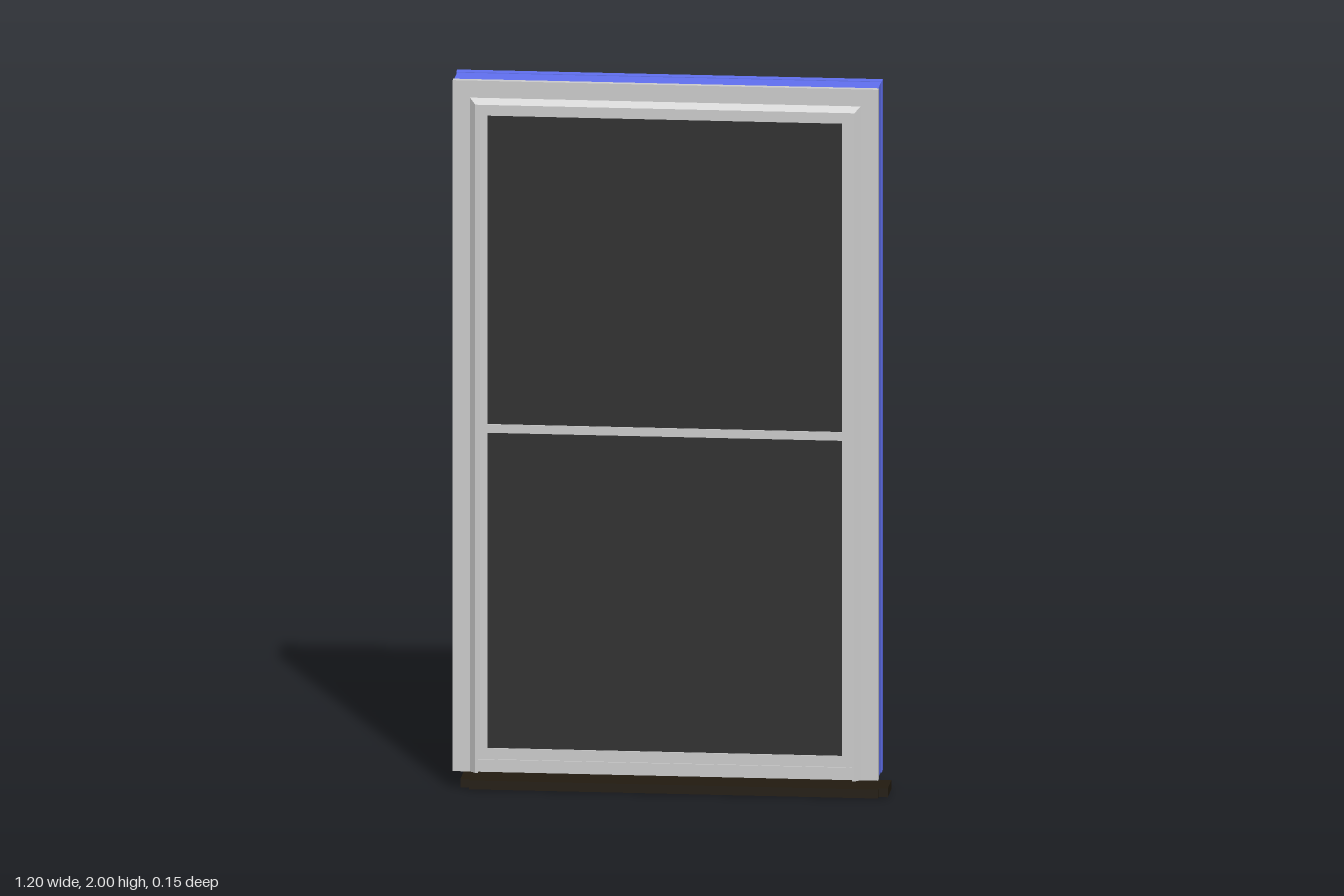
import * as THREE from 'three';

const CX = -0.0125; // centre line of the window, the sill is offset slightly
const mat = (color) => new THREE.MeshStandardMaterial({ color, side: THREE.DoubleSide });
const grey = mat(0xcccccc), blue = mat(0x6070f0), dark = mat(0x303030), black = mat(0x221b10);

const rect = (hw, y0, y1) => ({ x0: CX - hw, x1: CX + hw, y0, y1 });
const inset = (r, d) => ({ x0: r.x0 + d, x1: r.x1 - d, y0: r.y0 + d, y1: r.y1 - d });

// Mitred frame: closed profile of [u, z], u running from the outer to the inner rectangle.
// Without an inner rectangle, u is the inset in units.
function frame(outer, profile, inner = inset(outer, 1), firstSide = 0) {
  const corner = ([u, z], k) => {
    const mix = (key) => outer[key] + (inner[key] - outer[key]) * u;
    return [mix(k === 0 || k === 3 ? 'x0' : 'x1'), mix(k < 2 ? 'y0' : 'y1'), z];
  };
  const pos = [];
  for (let k = firstSide; k < 4; k++) {
    profile.forEach((p, i) => {
      const q = profile[(i + 1) % profile.length], n = (k + 1) % 4;
      const a = corner(p, k), b = corner(p, n), c = corner(q, n), d = corner(q, k);
      pos.push(...a, ...b, ...c, ...a, ...c, ...d);
    });
  }
  const g = new THREE.BufferGeometry();
  g.setAttribute('position', new THREE.Float32BufferAttribute(pos, 3));
  g.computeVertexNormals();
  return g;
}

function add(group, name, geometry, material) {
  const mesh = new THREE.Mesh(geometry, material);
  mesh.name = name;
  group.add(mesh);
}

function box(group, name, material, x0, x1, y0, y1, z0, z1) {
  const g = new THREE.BoxGeometry(x1 - x0, y1 - y0, z1 - z0);
  g.translate((x0 + x1) / 2, (y0 + y1) / 2, (z0 + z1) / 2);
  add(group, name, g, material);
}

// Sash with shallow glass and a grid of glazing bars in the gaps between panes
function makeSash(name, outer, zBack, zFront, columns, rows) {
  const sash = new THREE.Group();
  sash.name = name;
  const x0 = columns[0][0], x1 = columns.at(-1)[1];
  const y0 = rows[0][0], y1 = rows.at(-1)[1];
  add(sash, 'sashFrame', frame(outer, [
    [0, zFront], [1, zFront], [1, zBack + 0.006], [0.9, zBack],
    [0.04, zBack], [0, zBack + 0.003],
  ], { x0, x1, y0, y1 }), blue);
  box(sash, 'glass', dark, x0, x1, y0, y1, zBack + 0.01, zBack + 0.014);
  for (let i = 1; i < columns.length; i++)
    box(sash, 'verticalBar', blue, columns[i - 1][1], columns[i][0], y0, y1, zBack + 0.004, zBack + 0.02);
  for (let i = 1; i < rows.length; i++)
    box(sash, 'horizontalBar', blue, x0, x1, rows[i - 1][1], rows[i][0], zBack + 0.005, zBack + 0.019);
  return sash;
}

export function createModel() {
  const model = new THREE.Group();
  model.name = 'window';
  const outer = rect(0.5875, 0.05, 2);

  // Sill with a shorter nosing between its horns
  box(model, 'sill', black, -0.58, 0.6, 0, 0.025, -0.058, 0.042);
  box(model, 'sillNosing', black, -0.555, 0.575, 0, 0.025, 0.042, 0.06);

  // Main frame with a lip around the back
  add(model, 'mainFrame', frame(outer, [
    [0.002, 0.04], [0.085, 0.04], [0.085, -0.058], [0.07, -0.063], [0.07, -0.071],
    [0.066, -0.075], [0.01, -0.075], [0, -0.071], [0, -0.042], [0.002, -0.042],
  ]), blue);

  // Front casing, moulding and screen surround
  add(model, 'casing', frame(outer, [[0, 0.059], [0.062, 0.059], [0.062, 0.04], [0, 0.04]]), grey);
  const screen = { x0: -0.503, x1: 0.476, y0: 0.118, y1: 1.903 };
  add(model, 'screenFrame', frame({ ...inset(outer, 0.06), y0: 0.085 },
    [[0, 0.063], [1, 0.063], [1, 0.04], [0, 0.04]], screen), grey);
  add(model, 'moulding', frame(outer,
    [[0.047, 0.058], [0.064, 0.075], [0.071, 0.075], [0.071, 0.045], [0.047, 0.045]],
    { ...inset(outer, 1), y0: outer.y0 }, 1), grey);
  box(model, 'bottomNosing', grey, -0.535, 0.51, 0.052, 0.087, 0.04, 0.068);

  // Screens and the rail between them
  box(model, 'lowerScreen', dark, screen.x0, screen.x1, screen.y0, 1.01, 0.054, 0.059);
  box(model, 'upperScreen', dark, screen.x0, screen.x1, 1.03, screen.y1, 0.054, 0.059);
  box(model, 'screenRail', grey, screen.x0, screen.x1, 1.008, 1.032, 0.045, 0.063);

  // Sashes: uneven columns, even rows above and uneven rows below
  const columns = [[-0.443, -0.342], [-0.306, -0.184], [-0.15, -0.034],
    [-0.002, 0.166], [0.198, 0.279], [0.312, 0.417]];
  const upperRows = Array.from({ length: 6 }, (_, i) => [1.055 + i * 0.134, 1.158 + i * 0.134]);
  const lowerRows = [[0.198, 0.32], [0.35, 0.455], [0.485, 0.585],
    [0.615, 0.73], [0.757, 0.828], [0.85, 0.962]];
  model.add(makeSash('upperSash', rect(0.497, 1.0, 1.91), -0.022, 0.022, columns, upperRows));
  model.add(makeSash('lowerSash', rect(0.497, 0.14, 1.062), -0.069, -0.026, columns, lowerRows));

  // Stops in the side tracks above the lower sash
  for (const s of [-1, 1]) {
    const x = CX + s * 0.497;
    box(model, 'trackStop', blue, x - 0.008, x + 0.008, 1.062, 1.914, -0.034, -0.024);
  }

  // Sash lock
  const lock = new THREE.Group();
  lock.name = 'sashLock';
  box(lock, 'lockPlate', blue, -0.045, 0.045, 0, 0.006, -0.016, 0.016);
  add(lock, 'lockCam', new THREE.CylinderGeometry(0.015, 0.018, 0.012, 16).translate(0, 0.012, 0), blue);
  box(lock, 'lockLever', blue, 0, 0.05, 0.01, 0.018, -0.014, -0.004);
  lock.position.set(CX, 1.062, -0.048);
  model.add(lock);

  return model;
}
